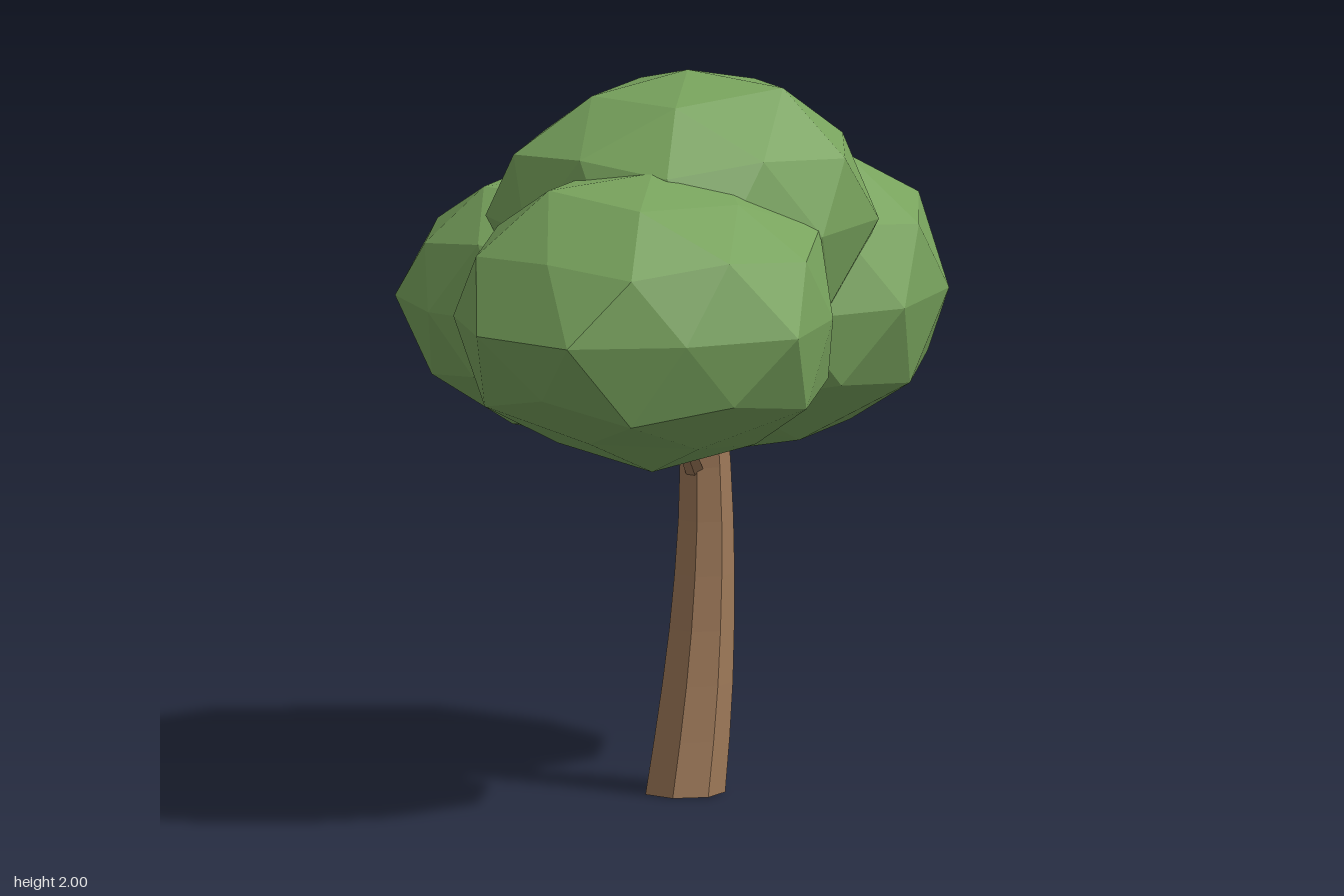
import * as THREE from 'three';

const leaf = new THREE.MeshStandardMaterial({ color: 0x78a35d });
leaf.name = 'leaf green';
const bark = new THREE.MeshStandardMaterial({ color: 0x9d7858, side: THREE.DoubleSide });
bark.name = 'bark brown';

// Faceted solid: unshared corners give every face its own normal
function facet(geometry) {
  const g = geometry.index ? geometry.toNonIndexed() : geometry;
  g.computeVertexNormals();
  return g;
}

// Squashed 80-face ball with a corner at the pole and its upper ring pointing to +x.
// Each nudge [x, y, z, factor] moves the corner in that direction in or out.
function foliage(name, center, radii, nudges) {
  const g = new THREE.IcosahedronGeometry(1, 1);
  g.rotateX(-Math.atan((1 + Math.sqrt(5)) / 2));
  g.rotateY(Math.PI / 2);
  const p = g.attributes.position;
  const v = new THREE.Vector3();
  for (let i = 0; i < p.count; i++) {
    v.fromBufferAttribute(p, i);
    const hit = nudges.find(([x, y, z]) => Math.hypot(v.x - x, v.y - y, v.z - z) < 0.1);
    if (hit) v.multiplyScalar(hit[3]);
    p.setXYZ(i, v.x, v.y, v.z);
  }
  g.scale(...radii);
  const mesh = new THREE.Mesh(facet(g), leaf);
  mesh.name = name;
  mesh.position.set(...center);
  return mesh;
}

// Tapered open limb through stations [x, y, z, radius], each a level polygon
function limb(name, stations, sides) {
  const g = new THREE.CylinderGeometry(1, 1, 1, sides, stations.length - 1, true);
  g.rotateY(Math.PI / 2); // one corner toward +x
  const p = g.attributes.position;
  for (let i = 0; i < p.count; i++) {
    const k = Math.round((p.getY(i) + 0.5) * (stations.length - 1));
    const [x, y, z, r] = stations[k];
    p.setXYZ(i, x + p.getX(i) * r, y, z + p.getZ(i) * r);
  }
  const mesh = new THREE.Mesh(facet(g), bark);
  mesh.name = name;
  return mesh;
}

export function createModel() {
  const tree = new THREE.Group();
  tree.name = 'tree';

  // Leaning seven-sided trunk
  tree.add(limb('trunk', [
    [-0.04, 0, 0.085, 0.114],
    [-0.012, 0.15, 0.085, 0.108],
    [0.012, 0.3, 0.085, 0.101],
    [0.03, 0.45, 0.085, 0.093],
    [0.042, 0.6, 0.085, 0.086],
    [0.048, 0.75, 0.085, 0.079],
    [0.046, 0.9, 0.085, 0.073],
    [0.025, 1.2, 0.085, 0.065],
  ], 7));

  // Thin branches reaching into the crown
  tree.add(limb('rightBranch', [[0.02, 0.86, 0.085, 0.028], [-0.28, 1.18, 0.22, 0.022]], 5));
  tree.add(limb('leftBranch', [[0.08, 0.88, 0.06, 0.016], [0.25, 1.06, -0.05, 0.012]], 5));

  // Crown
  tree.add(foliage('leftFoliage', [0.37, 1.34, -0.067], [0.585, 0.455, 0.598], [
    [0, 1, 0, 0.88],
    [0.53, 0.85, 0, 0.96],
    [0.16, 0.85, -0.5, 0.94],
    [0.28, 0.45, -0.85, 0.94],
    [0.69, 0.53, -0.5, 0.9],
    [0.59, 0, -0.81, 0.91],
    [0.59, 0, 0.81, 0.97],
    [0.95, 0, -0.31, 0.97],
    [-0.89, -0.45, 0, 0.92],
    [-0.53, -0.85, 0, 0.86],
  ]));
  tree.add(foliage('rightFoliage', [-0.385, 1.385, 0.27], [0.573, 0.43, 0.53], [
    [0, 1, 0, 0.93],
    [-0.85, 0.53, 0, 0.9],
    [-0.89, -0.45, 0, 0.9],
    [-0.53, -0.85, 0, 0.87],
    [-0.59, 0, 0.81, 0.91],
    [0.59, 0, 0.81, 0.91],
    [-0.26, 0.53, 0.81, 0.94],
    [-0.72, 0.45, 0.53, 0.93],
    [-0.43, 0.85, 0.31, 0.93],
    [0.28, 0.45, 0.85, 0.95],
    [0.16, 0.85, 0.5, 0.9],
    [-0.28, -0.45, 0.85, 0.95],
    [-0.16, -0.85, 0.5, 0.9],
  ]));
  tree.add(foliage('backFoliage', [-0.02, 1.32, -0.35], [0.445, 0.375, 0.46], [
    [0, 1, 0, 0.91],
    [0.59, 0, -0.81, 0.93],
    [-0.59, 0, -0.81, 1.05],
    [0.69, 0.53, -0.5, 1.08],
    [-0.28, -0.45, -0.85, 0.88],
    [-0.16, -0.85, -0.5, 0.89],
  ]));
  tree.add(foliage('topFoliage', [0, 1.59, 0.065], [0.53, 0.41, 0.49], [
    [0.16, 0.85, 0.5, 1.08],
    [0.28, 0.45, 0.85, 1.05],
    [0.28, 0.45, -0.85, 1.03],
    [0.59, 0, -0.81, 1.1],
    [-0.59, 0, -0.81, 1.1],
    [-0.72, 0.45, -0.53, 1.07],
    [0.69, 0.53, -0.5, 1.04],
    [0.59, 0, 0.81, 1.04],
  ]));

  return tree;
}
